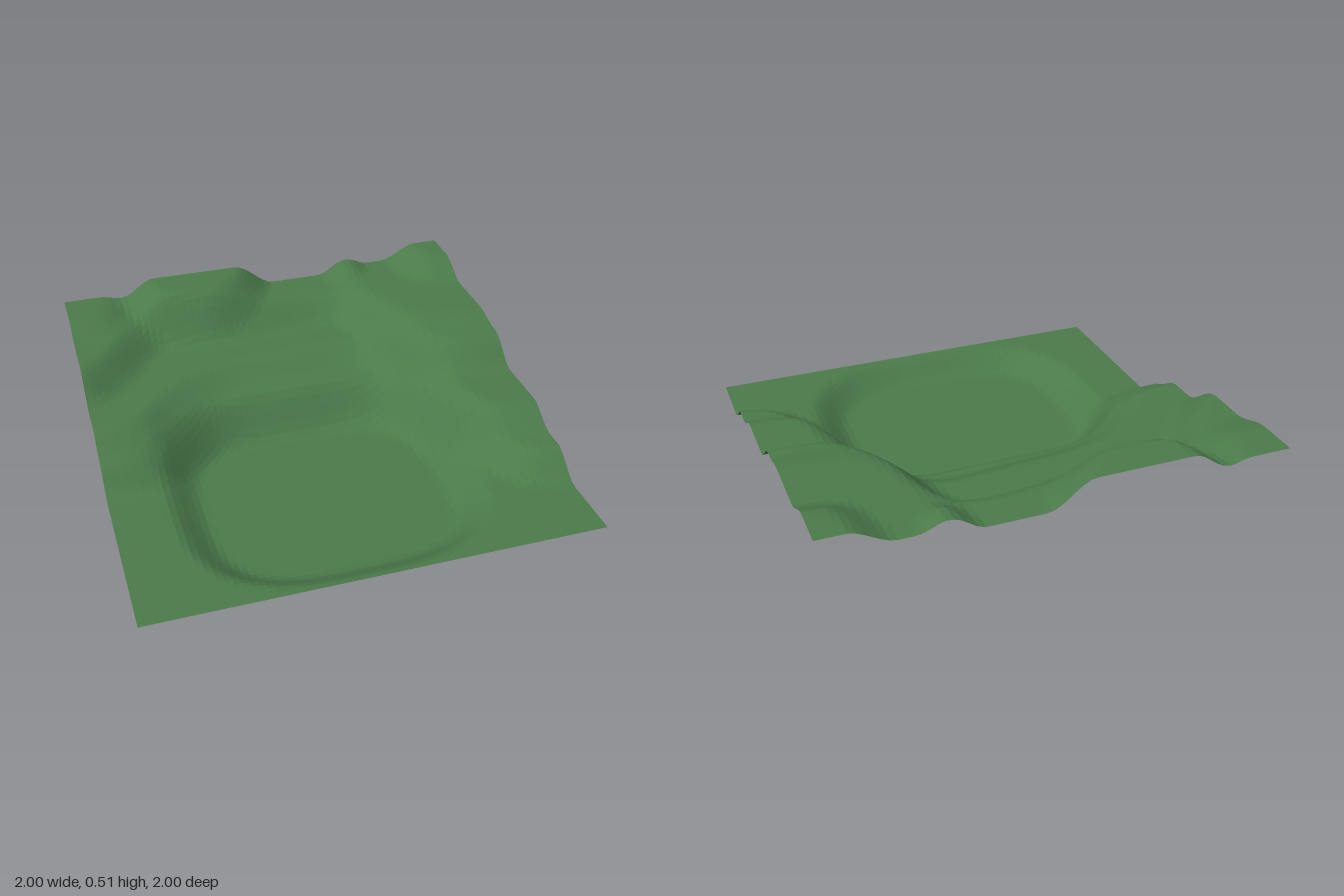
import * as THREE from 'three';

const RIM = 0.095;
const FAR = 1.4; // contours run this far, past the tile edge

// Smooth open contour through a few points, given as x, z pairs
function bank(...xz) {
  const points = [];
  for (let i = 0; i < xz.length; i += 2) points.push(new THREE.Vector3(xz[i], 0, xz[i + 1]));
  return new THREE.CatmullRomCurve3(points).getPoints(90).map((p) => [p.x, p.z]);
}

// Closed rounded contour; a higher power gives squarer corners
function oval(cx, cz, rx, rz, power) {
  const bend = (v) => Math.sign(v) * Math.abs(v) ** (2 / power);
  return Array.from({ length: 91 }, (_, i) => {
    const a = (i / 90) * Math.PI * 2;
    return [cx + rx * bend(Math.cos(a)), cz + rz * bend(Math.sin(a))];
  });
}

const backLeft = [-FAR, -FAR];
const backRight = [FAR, -FAR];

// A terrace rises inside its contour, closed round any far corners
function terrace(rise, width, contour, ...corners) {
  return { rise, width, contour, region: [...contour, ...corners] };
}

function inside(region, x, z) {
  let hit = false;
  region.forEach(([xi, zi], i) => {
    const [xj, zj] = region[(i || region.length) - 1];
    if ((zi > z) !== (zj > z) && x < ((xj - xi) * (z - zi)) / (zj - zi) + xi) hit = !hit;
  });
  return hit;
}

function distance(contour, x, z) {
  let best = Infinity;
  for (let i = 1; i < contour.length; i++) {
    const [ax, az] = contour[i - 1], [bx, bz] = contour[i];
    const dx = bx - ax, dz = bz - az;
    const k = THREE.MathUtils.clamp(((x - ax) * dx + (z - az) * dz) / (dx * dx + dz * dz || 1), 0, 1);
    best = Math.min(best, Math.hypot(x - ax - k * dx, z - az - k * dz));
  }
  return best;
}

export function createModel() {
  const group = new THREE.Group();
  group.name = 'terracedLandscape';

  const grass = new THREE.MeshStandardMaterial({ color: 0x4b7a4a, side: THREE.DoubleSide, flatShading: true });
  grass.name = 'grassGreen';

  const basin = terrace(-RIM, 0.19, oval(-0.05, 0.355, 0.62, 0.555, 3));
  const firstBank = terrace(0.105, 0.19, bank(-FAR, 0.14, -0.8, 0.12, -0.62, -0.04, -0.4, -0.2, 0, -0.22,
    0.4, -0.2, 0.6, 0.15, 0.8, 0.54, 0.95, 0.61, FAR, 0.61), backRight, backLeft);
  const secondBank = terrace(0.08, 0.19, bank(-FAR, -0.01, -0.8, -0.04, -0.62, -0.22, -0.4, -0.36, 0, -0.41,
    0.38, -0.4, 0.6, -0.1, 0.72, 0.27, 0.85, 0.34, FAR, 0.34), backRight, backLeft);
  const upperBank = terrace(0.115, 0.2, bank(-FAR, -0.27, -1, -0.32, -0.85, -0.45, -0.6, -0.73, -0.3, -0.7,
    0.36, -0.72, 0.5, -0.4, 0.62, -0.2, 0.78, -0.1, FAR, -0.12), backRight, backLeft);
  const leftShelf = terrace(0.05, 0.2, bank(-FAR, -0.72, -0.95, -0.72, -0.8, -0.77, -0.73, -0.95, -0.73, -FAR), backLeft);
  const hilltop = terrace(0.115, 0.2, bank(-0.63, -FAR, -0.64, -0.95, -0.56, -0.78, -0.3, -0.74, -0.12, -0.82, -0.02, -0.98, 0, -FAR));
  const rightShelf = terrace(0.033, 0.18, bank(0.42, -FAR, 0.43, -0.85, 0.62, -0.36, 0.8, -0.3, FAR, -0.3), backRight);
  const cornerHill = terrace(0.078, 0.2, bank(0.79, -FAR, 0.79, -0.95, 0.85, -0.78, 1, -0.73, FAR, -0.72), backRight);
  const knoll = terrace(0.038, 0.12, oval(0.48, -0.98, 0.075, 0.11, 2));
  const terraces = [basin, firstBank, secondBank, upperBank, leftShelf, hilltop, rightShelf, cornerHill, knoll];

  // Ground sheet raised terrace by terrace
  const geometry = new THREE.PlaneGeometry(2, 2, 64, 64).rotateX(-Math.PI / 2);
  const pos = geometry.attributes.position;
  for (let i = 0; i < pos.count; i++) {
    const x = pos.getX(i), z = pos.getZ(i);
    let y = RIM;
    for (const t of terraces) {
      const d = distance(t.contour, x, z) * (inside(t.region, x, z) ? 1 : -1);
      y += t.rise * THREE.MathUtils.smoothstep(d, -t.width / 2, t.width / 2);
    }
    pos.setY(i, Math.max(0, y));
  }
  geometry.computeVertexNormals();

  const ground = new THREE.Mesh(geometry, grass);
  ground.name = 'ground';
  group.add(ground);
  return group;
}
